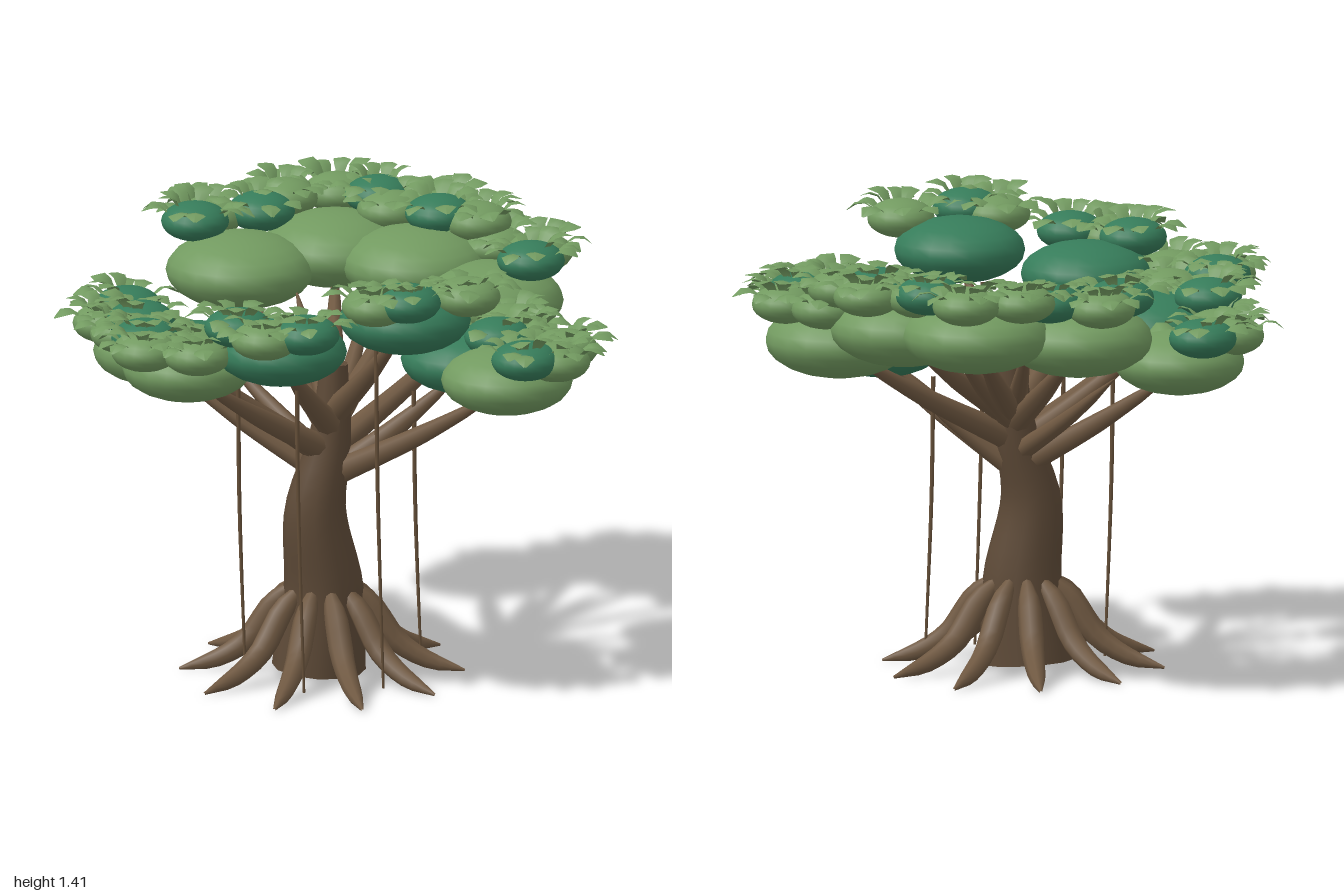
import * as THREE from 'three';
import { mergeGeometries } from 'three/addons/utils/BufferGeometryUtils.js';

const V = (x, y, z) => new THREE.Vector3(x, y, z);

function mat(name, color, extra = {}) {
  const m = new THREE.MeshStandardMaterial({ color, ...extra });
  m.name = name;
  return m;
}

function seeded(seed) {
  return () => {
    seed = (seed * 16807) % 2147483647;
    return seed / 2147483647;
  };
}

// Tube along points whose radius follows an evenly spaced list
function taperedTube(points, radii, segments, sides) {
  const curve = new THREE.CatmullRomCurve3(points);
  const geo = new THREE.TubeGeometry(curve, segments, 1, sides, false);
  const pos = geo.attributes.position;
  const v = V(0, 0, 0);
  for (let i = 0; i <= segments; i++) {
    const u = i / segments, c = curve.getPointAt(u);
    const f = u * (radii.length - 1), k = Math.min(Math.floor(f), radii.length - 2);
    const r = THREE.MathUtils.lerp(radii[k], radii[k + 1], f - k);
    for (let j = 0; j <= sides; j++) {
      const n = i * (sides + 1) + j;
      v.fromBufferAttribute(pos, n).sub(c).multiplyScalar(r).add(c);
      pos.setXYZ(n, v.x, v.y, v.z);
    }
  }
  return geo;
}

// Arched leaf growing along +z: narrow base, broad shoulders, short blunt tip
function leafGeometry() {
  const rows = [[0, 0, 0.012], [0.03, 0.025, 0.024], [0.06, 0.027, 0.032], [0.088, 0.006, 0.004]];
  const p = [], idx = [];
  rows.forEach(([z, y, w], i) => {
    p.push(-w, y - w * 0.2, z, 0, y, z, w, y - w * 0.2, z);
    if (i === 0) return;
    for (let k = 0; k < 2; k++) {
      const a = (i - 1) * 3 + k, b = a + 3;
      idx.push(a, b, a + 1, a + 1, b, b + 1);
    }
  });
  const g = new THREE.BufferGeometry();
  g.setAttribute('position', new THREE.Float32BufferAttribute(p, 3));
  g.setIndex(idx);
  g.computeVertexNormals();
  return g;
}

// Foliage masses: centre x, y, z, dark?, then x, z of each dark tuft
const CLUSTERS = [
  [-0.29, 1.13, -0.48, 0, -0.43, -0.53, -0.23, -0.66],
  [0, 1.16, -0.64, 0, 0.13, -0.75],
  [0.25, 1.15, -0.49, 0, 0.32, -0.56],
  [0.48, 1.08, -0.32, 0, 0.61, -0.26],
  [0.42, 1, 0.1, 1, 0.52, 0.22],
  [0.55, 1, 0.36, 0, 0.61, 0.51],
  [0.24, 1.23, 0.51, 1, 0.25, 0.7],
  [-0.14, 1.15, 0.6, 1, -0.27, 0.7, -0.06, 0.79],
  [-0.43, 1.07, 0.49, 0, -0.56, 0.53],
  [-0.41, 1.05, 0.28, 1, -0.58, 0.23],
  [-0.53, 0.99, -0.02, 0, -0.63, -0.18],
];

// Tufts of one mass: the dark ones, then light ones spread over its outer side
function tuftSpots(x, z, darkSpots) {
  const spots = [];
  for (let i = 0; i < darkSpots.length; i += 2) spots.push({ x: darkSpots[i], z: darkSpots[i + 1], dark: true });
  const outward = Math.atan2(x, z), reach = 0.16 + 0.07 * Math.abs(z);
  for (const turn of [-0.9, 0, 0.9]) {
    const s = { x: x + Math.sin(outward + turn) * reach, z: z + Math.cos(outward + turn) * reach, dark: false };
    if (spots.every((o) => Math.hypot(o.x - s.x, o.z - s.z) > 0.09)) spots.push(s);
  }
  return spots;
}

export function createModel() {
  const tree = new THREE.Group();
  tree.name = 'tree';
  const bark = mat('trunk bark', 0x5f4b38);
  const wood = mat('root and branch bark', 0x705942);
  const vineMat = mat('vine brown', 0x665039);
  const dark = mat('dark foliage', 0x367c5a);
  const light = mat('light foliage', 0x729a60);
  const leafMat = mat('leaf green', 0x729a60, { side: THREE.DoubleSide });
  const rand = seeded(4127);

  const add = (parent, geo, material, name) => {
    const m = new THREE.Mesh(geo, material);
    m.name = name;
    parent.add(m);
    return m;
  };
  const group = (name) => {
    const g = new THREE.Group();
    g.name = name;
    tree.add(g);
    return g;
  };

  // Crooked trunk with closed ends
  const trunkPath = [V(-0.035, 0.02, 0.1), V(-0.02, 0.27, 0.11), V(-0.045, 0.52, 0.125), V(0, 0.75, 0.1), V(0.012, 0.98, 0.09)];
  add(tree, taperedTube(trunkPath, [0.145, 0.125, 0.098, 0.066, 0.042], 20, 12), bark, 'trunk');
  const trunkEnd = (p, r, turn) => {
    const cap = add(tree, new THREE.CircleGeometry(r, 12), bark, 'trunkEnd');
    cap.rotation.x = turn;
    cap.position.copy(p);
  };
  trunkEnd(trunkPath[0], 0.145, Math.PI / 2);
  trunkEnd(trunkPath[4], 0.042, -Math.PI / 2);

  // Ten buttress roots fanning out to the ground
  const roots = group('roots');
  for (let i = 0; i < 10; i++) {
    const a = (i / 10) * Math.PI * 2;
    const at = (f, y) => V(-0.025 + Math.cos(a) * 0.44 * f, y, 0.103 + Math.sin(a) * 0.53 * f);
    const path = [at(0.16, 0.29), at(0.33, 0.225), at(0.52, 0.105), at(0.73, 0.045), at(1, 0.01)];
    add(roots, taperedTube(path, [0.012, 0.036, 0.038, 0.033, 0.026, 0.004], 12, 8), wood, 'root');
  }

  // Branches reaching up under each foliage mass, plus three spare limbs
  const branches = group('branches');
  const branch = (x, y, z, r, low) => {
    const start = V(0.005, low, 0.1), end = V(x, y, z);
    const mid = start.clone().lerp(end, 0.5);
    mid.y -= 0.012;
    add(branches, taperedTube([start, mid, end], [r, r * 0.85, r * 0.7, r * 0.45, 0], 12, 8), wood, 'branch');
  };
  CLUSTERS.forEach(([x, y, z]) => {
    branch(x, y - 0.03, z, 0.042, THREE.MathUtils.clamp(y - 0.37, 0.62, 0.82));
  });
  branch(-0.37, 0.97, -0.21, 0.036, 0.66);
  branch(-0.12, 1.1, -0.4, 0.036, 0.8);
  branch(0.12, 1.1, -0.42, 0.036, 0.76);

  // Hanging vines
  const vines = group('vines');
  for (const [x, z, top] of [[-0.28, 0.25, 0.95], [-0.095, 0.45, 1.08], [0.148, 0.39, 1.15], [0.258, 0.11, 0.9]]) {
    const path = [V(x, top, z), V(x + 0.004, top * 0.6, z - 0.004), V(x + 0.022, 0.02, z - 0.02)];
    add(vines, taperedTube(path, [0.007, 0.006, 0.004], 8, 6), vineMat, 'vine');
  }

  // Flattened foliage masses with leafy tufts
  const ball = new THREE.SphereGeometry(1, 20, 12);
  const leaf = leafGeometry();
  const holder = new THREE.Object3D();
  holder.rotation.order = 'YXZ';
  CLUSTERS.forEach(([cx, cy, cz, isDark, ...darkSpots]) => {
    const cluster = group('foliageCluster');
    const back = cz < -0.3;
    const r = back ? 0.23 : 0.203;
    const mass = add(cluster, ball, isDark ? dark : light, 'foliageMass');
    mass.position.set(cx, cy, cz);
    mass.scale.set(r, r * 0.5, r);

    const leaves = [];
    tuftSpots(cx, cz, darkSpots).forEach((t) => {
      const y = cy + (back ? 0.13 : 0.09) + (t.dark ? 0.01 : -0.005);
      const tuft = add(cluster, ball, t.dark ? dark : light, 'foliageTuft');
      tuft.position.set(t.x, y, t.z);
      tuft.scale.set(0.105, 0.06, 0.105);
      const outward = Math.atan2(t.x, t.z);
      // Ring of leaves round the rim, then a few standing on the outer top
      for (let i = 0; i < 12; i++) {
        const rim = i < 8;
        const a = rim ? (i / 8) * Math.PI * 2 + rand() * 0.5 : outward + (i - 9.5) * 0.65 + rand() * 0.3;
        const s = rim ? 0.078 : 0.05;
        holder.position.set(t.x + Math.sin(a) * s, y + (rim ? 0.026 : 0.042), t.z + Math.cos(a) * s);
        holder.rotation.set(rim ? 0.15 - rand() * 0.25 : -0.25 - rand() * 0.2, a, (rand() - 0.5) * 0.5);
        holder.scale.setScalar(0.85 + rand() * 0.2);
        holder.updateMatrix();
        leaves.push(leaf.clone().applyMatrix4(holder.matrix));
      }
    });
    add(cluster, mergeGeometries(leaves), leafMat, 'leaves');
  });

  return tree;
}
